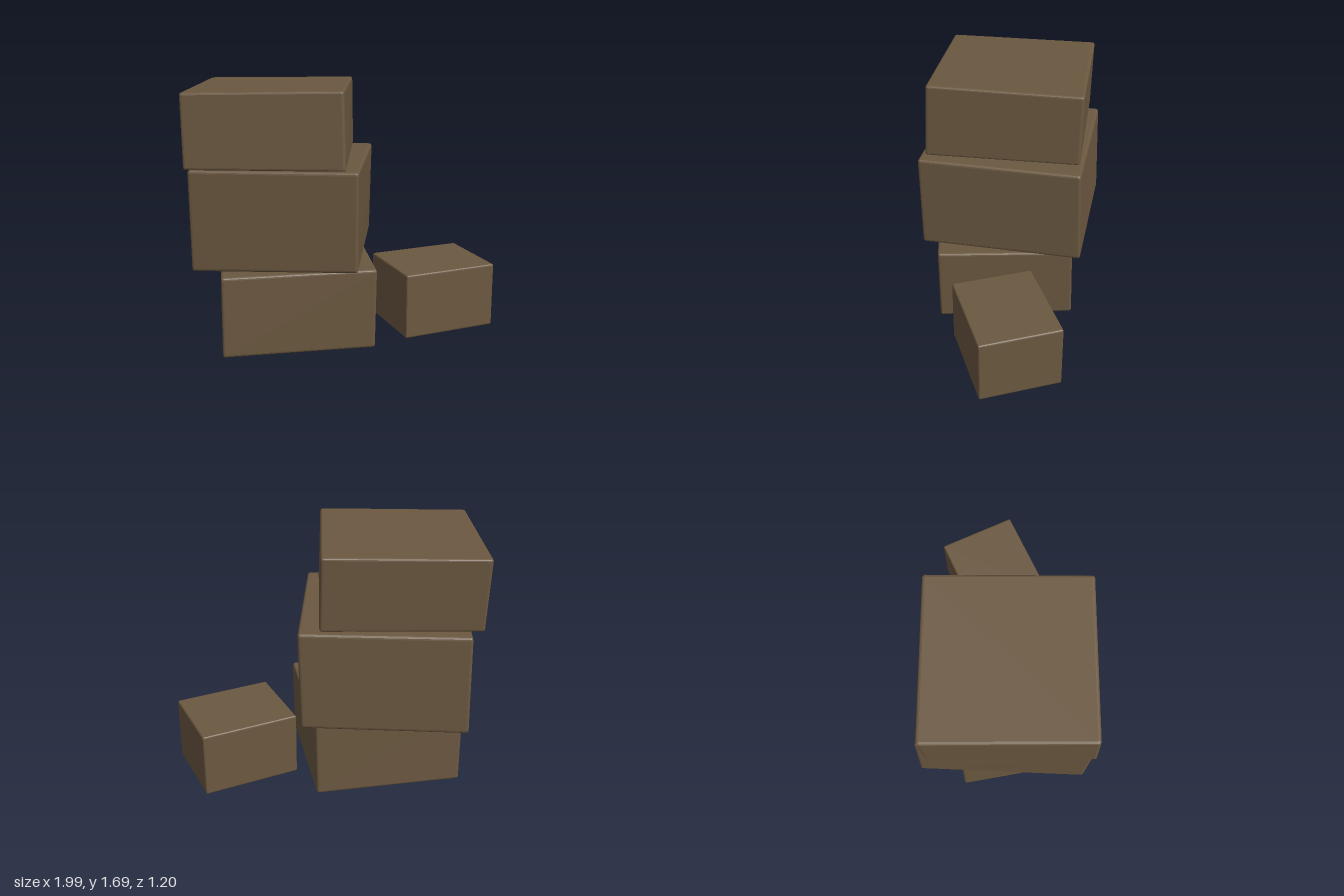
import * as THREE from 'three';
import { RoundedBoxGeometry } from 'three/addons/geometries/RoundedBoxGeometry.js';

// Slightly crooked crate: a bevelled box whose vertices are blended between eight corners.
// Each ring runs back-left, back-right, front-right, front-left.
function crateGeometry(bottom, top) {
  const size = new THREE.Vector3(1, 0.55, 1);
  const geo = new RoundedBoxGeometry(size.x, size.y, size.z, 2, 0.018);
  const rings = [bottom, top].map((ring) => ring.map((c) => new THREE.Vector3(...c)));
  const onRing = ([bl, br, fr, fl], u, w) =>
    bl.clone().lerp(br, u).lerp(fl.clone().lerp(fr, u), w);
  const pos = geo.attributes.position;
  for (let i = 0; i < pos.count; i++) {
    const u = pos.getX(i) / size.x + 0.5;
    const v = pos.getY(i) / size.y + 0.5;
    const w = pos.getZ(i) / size.z + 0.5;
    const p = onRing(rings[0], u, w).lerp(onRing(rings[1], u, w), v);
    pos.setXYZ(i, p.x, p.y, p.z);
  }
  geo.computeVertexNormals();
  return geo;
}

export function createModel() {
  const group = new THREE.Group();
  group.name = 'crateStack';
  const brown = new THREE.MeshStandardMaterial({ color: 0x6b5840 });
  brown.name = 'brown';

  const smallPlan = [[0.17, -0.223], [0.77, -0.5], [1.0, 0], [0.4, 0.28]];
  const smallRing = (y) => smallPlan.map(([x, z]) => [x, y, z]);

  const crates = {
    bottomCrate: [
      [[-0.935, 0.02, -0.335], [0.035, 0.025, -0.505], [0.197, 0.013, 0.414], [-0.768, 0.004, 0.604]],
      [[-0.93, 0.533, -0.325], [0.045, 0.54, -0.492], [0.207, 0.545, 0.414], [-0.765, 0.535, 0.593]],
    ],
    middleCrate: [
      [[-0.92, 0.54, -0.606], [0.138, 0.555, -0.548], [0.086, 0.56, 0.542], [-0.97, 0.542, 0.485]],
      [[-0.905, 1.195, -0.584], [0.155, 1.2, -0.526], [0.09, 1.203, 0.55], [-0.97, 1.2, 0.5]],
    ],
    topCrate: [
      [[-0.985, 1.203, -0.515], [0.02, 1.205, -0.51], [0.012, 1.2, 0.515], [-0.99, 1.203, 0.515]],
      [[-0.998, 1.67, -0.525], [0.013, 1.68, -0.517], [0, 1.69, 0.495], [-0.998, 1.675, 0.495]],
    ],
    smallCrate: [smallRing(0.02), smallRing(0.46)],
  };

  for (const [name, [bottom, top]] of Object.entries(crates)) {
    const mesh = new THREE.Mesh(crateGeometry(bottom, top), brown);
    mesh.name = name;
    group.add(mesh);
  }
  return group;
}
